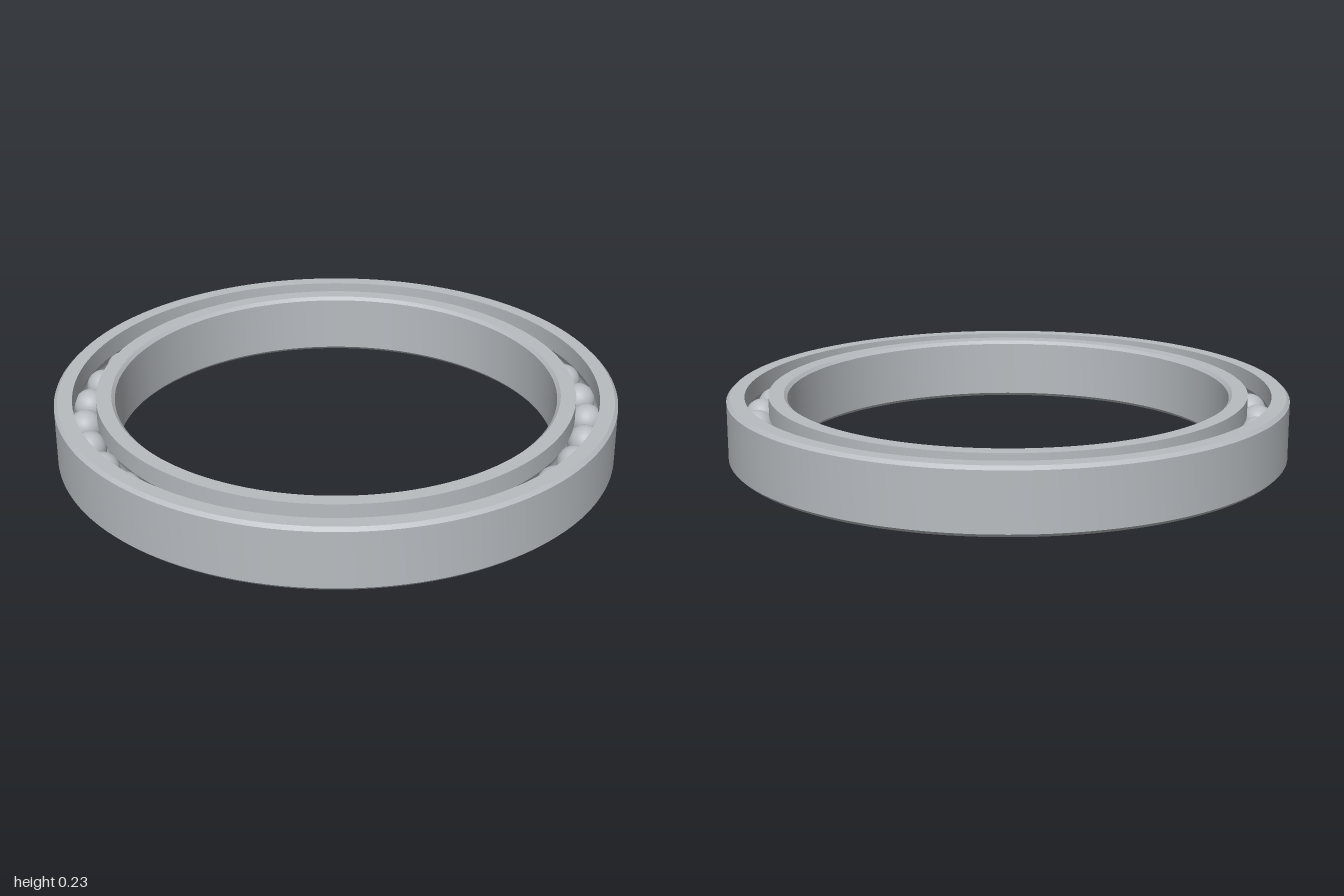
import * as THREE from 'three';
import { toCreasedNormals } from 'three/addons/utils/BufferGeometryUtils.js';

const HEIGHT = 0.228, MID = HEIGHT / 2, CHAMFER = 0.012;
const BORE = 0.787, INNER_LAND = 0.853, OUTER_LAND = 0.936, RIM = 1;
const PITCH = (INNER_LAND + OUTER_LAND) / 2;
const BALL = 0.06, BALL_COUNT = 34;

// Groove arc hugging the balls, sampled from angle a to b around the ball centre
function groove(a, b, steps = 12) {
  return Array.from({ length: steps + 1 }, (_, i) => {
    const t = a + (b - a) * i / steps;
    return [PITCH + Math.cos(t) * (BALL + 0.001), MID + Math.sin(t) * (BALL + 0.001)];
  });
}

// Revolve a closed counter-clockwise (radius, y) profile, keeping its corners sharp
function ring(name, profile, material) {
  const points = [...profile, profile[0]].map(([r, y]) => new THREE.Vector2(r, y));
  const geometry = toCreasedNormals(new THREE.LatheGeometry(points, 128), Math.PI / 7);
  const mesh = new THREE.Mesh(geometry, material);
  mesh.name = name;
  return mesh;
}

export function createModel() {
  const model = new THREE.Group();
  model.name = 'ballBearing';
  const steel = new THREE.MeshStandardMaterial({ color: 0xb8bcc0 });
  steel.name = 'steel';

  const half = Math.acos((OUTER_LAND - PITCH) / (BALL + 0.001));

  // Outer race: chamfered rim outside, ball groove inside
  model.add(ring('outerRace', [
    [OUTER_LAND, 0], [RIM - CHAMFER, 0], [RIM, CHAMFER],
    [RIM, HEIGHT - CHAMFER], [RIM - CHAMFER, HEIGHT], [OUTER_LAND, HEIGHT],
    ...groove(half, -half),
  ], steel));

  // Inner race: ball groove outside, chamfered bore inside
  model.add(ring('innerRace', [
    [BORE + CHAMFER, 0], [INNER_LAND, 0],
    ...groove(Math.PI + half, Math.PI - half),
    [INNER_LAND, HEIGHT], [BORE + CHAMFER, HEIGHT],
    [BORE, HEIGHT - CHAMFER], [BORE, CHAMFER],
  ], steel));

  // Balls evenly spaced between the races
  const balls = new THREE.Group();
  balls.name = 'balls';
  const ballGeometry = new THREE.SphereGeometry(BALL, 32, 20);
  for (let i = 0; i < BALL_COUNT; i++) {
    const a = i / BALL_COUNT * Math.PI * 2;
    const ball = new THREE.Mesh(ballGeometry, steel);
    ball.name = 'ball';
    ball.position.set(Math.cos(a) * PITCH, MID, Math.sin(a) * PITCH);
    balls.add(ball);
  }
  model.add(balls);
  return model;
}
